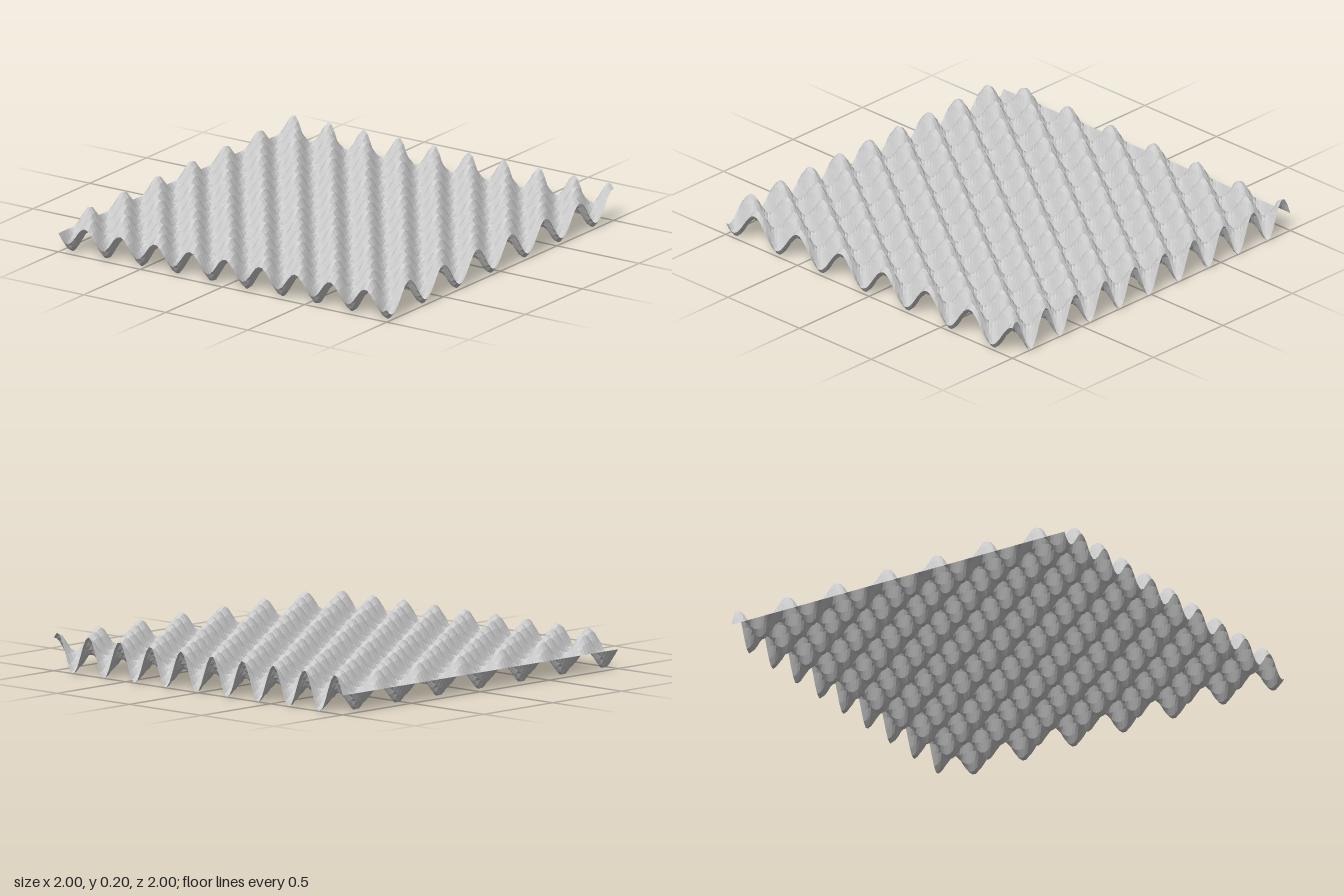
import * as THREE from 'three';

const CELLS = 100;
const AMPLITUDE = 0.098;
const HALF_WAVE_X = 0.1067; // distance from one node to the next along x
const HALF_WAVE_Z = 0.15;   // and along z

// Egg-crate height: a sine across the width times a cosine along the depth
function height(x, z) {
  return AMPLITUDE * (1 + Math.sin(Math.PI * (x + 1) / HALF_WAVE_X)
    * Math.cos(Math.PI * (z + 1) / HALF_WAVE_Z));
}

export function createModel() {
  const group = new THREE.Group();
  group.name = 'waveSheet';

  const grey = new THREE.MeshStandardMaterial({
    color: 0xcccccc, side: THREE.DoubleSide, flatShading: true,
  });
  grey.name = 'light grey';

  // Open rippled sheet: a flat grid whose vertices are raised by the wave rule
  const geometry = new THREE.PlaneGeometry(2, 2, CELLS, CELLS);
  geometry.rotateX(-Math.PI / 2);
  const position = geometry.attributes.position;
  for (let i = 0; i < position.count; i++) {
    position.setY(i, height(position.getX(i), position.getZ(i)));
  }
  geometry.computeVertexNormals();

  const sheet = new THREE.Mesh(geometry, grey);
  sheet.name = 'rippledSheet';
  group.add(sheet);
  return group;
}
